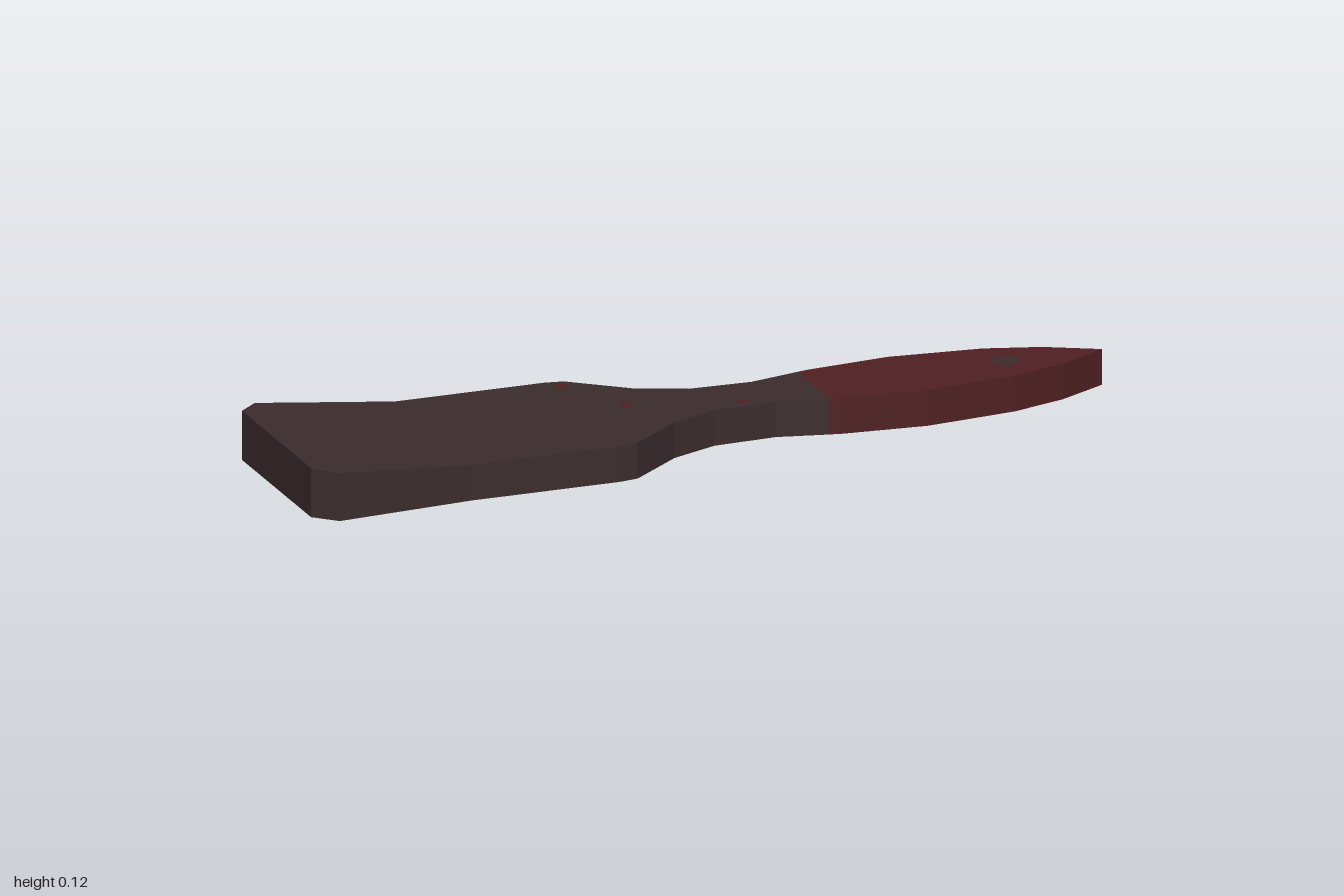
import * as THREE from 'three';

const flatTop = 0.085;

// Stations along the length: [x, half width, height]
const bladeStations = [
  [-1, 0.215, 0.117], [-0.95, 0.264, 0.114], [-0.62, 0.238, flatTop], [-0.26, 0.238, flatTop],
  [-0.215, 0.231, flatTop], [-0.085, 0.127, flatTop], [0.03, 0.08, flatTop],
  [0.18, 0.074, flatTop], [0.3, 0.101, flatTop],
];
const gripStations = [
  [0.3, 0.101, flatTop], [0.33, 0.107, flatTop], [0.53, 0.125, flatTop],
  [0.75, 0.102, flatTop], [0.88, 0.063, flatTop], [1, 0, flatTop],
];

// Joins rectangular cross-sections into a faceted bar
function loft(stations, capStart) {
  const rings = stations.map(([x, w, h]) => [[x, 0, w], [x, h, w], [x, h, -w], [x, 0, -w]]);
  const points = [];
  const quad = (a, b, c, d) => points.push(...a, ...b, ...c, ...a, ...c, ...d);
  for (let i = 0; i < rings.length - 1; i++) {
    for (let k = 0; k < 4; k++) {
      const n = (k + 1) % 4;
      quad(rings[i][k], rings[i + 1][k], rings[i + 1][n], rings[i][n]);
    }
  }
  if (capStart) quad(...rings[0]);
  const geometry = new THREE.BufferGeometry();
  geometry.setAttribute('position', new THREE.Float32BufferAttribute(points, 3));
  geometry.computeVertexNormals();
  return geometry;
}

export function createModel() {
  const darkBrown = new THREE.MeshStandardMaterial({ name: 'darkBrown', color: 0x3b2c2d, flatShading: true });
  const darkRed = new THREE.MeshStandardMaterial({ name: 'darkRed', color: 0x4f2022, flatShading: true });
  const group = new THREE.Group();
  group.name = 'paddle';

  const add = (name, geometry, material) => {
    const mesh = new THREE.Mesh(geometry, material);
    mesh.name = name;
    group.add(mesh);
    return mesh;
  };

  // Broad blade with raised end and narrow neck, then the leaf-shaped grip
  add('bladeAndNeck', loft(bladeStations, true), darkBrown);
  add('grip', loft(gripStations, false), darkRed);

  // Worn spot on the grip and small red specks on the blade
  const spots = [
    ['gripWornSpot', 0.765, 0, 0.034, darkBrown],
    ['bladeSpeck', -0.235, -0.2, 0.018, darkRed],
    ['bladeSpeck', -0.145, -0.025, 0.016, darkRed],
    ['neckSpeck', 0.11, 0.05, 0.016, darkRed],
  ];
  for (const [name, x, z, radius, material] of spots) {
    const spot = add(name, new THREE.CircleGeometry(radius, 8).rotateX(-Math.PI / 2), material);
    spot.position.set(x, flatTop + 0.001, z);
  }
  return group;
}
